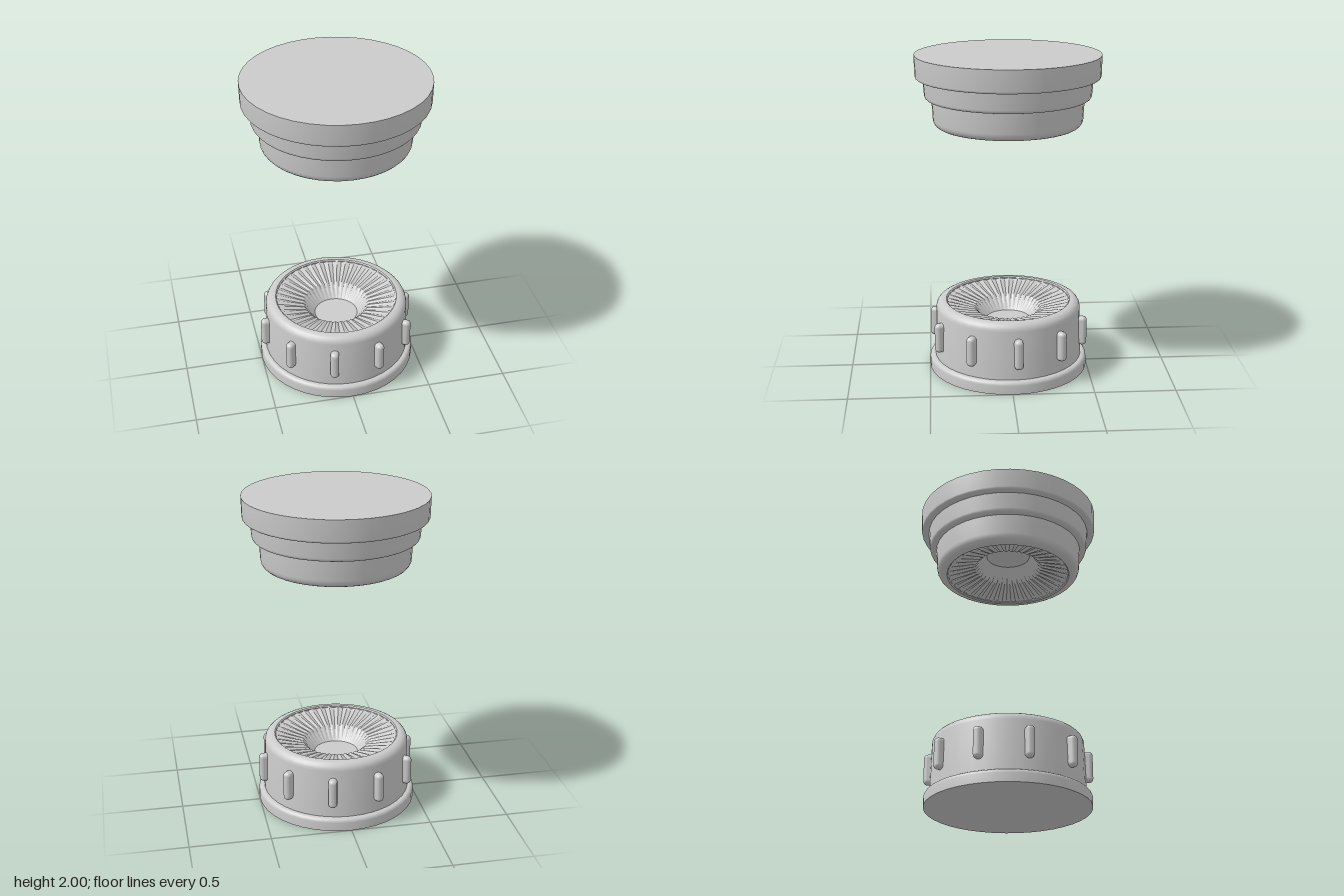
import * as THREE from 'three';
import { toCreasedNormals } from 'three/addons/utils/BufferGeometryUtils.js';
import { RoundedBoxGeometry } from 'three/addons/geometries/RoundedBoxGeometry.js';

const grey = new THREE.MeshStandardMaterial({ color: 0xcccccc });
const flat = new THREE.MeshStandardMaterial({ color: 0xcccccc, flatShading: true });

function part(name, geometry, material = grey) {
  const mesh = new THREE.Mesh(geometry, material);
  mesh.name = name;
  return mesh;
}

// Turned solid; creased at a larger scale so small fillets stay distinct
function turned(points) {
  const g = new THREE.LatheGeometry(points.map(([r, y]) => new THREE.Vector2(r, y)), 40);
  g.scale(20, 20, 20);
  return toCreasedNormals(g, 0.7).scale(0.05, 0.05, 0.05);
}

// Quarter-round from the side wall (r, y - f) over to the top (r - f, y)
function fillet(r, y, f, steps = 5) {
  return Array.from({ length: steps + 1 }, (_, i) => {
    const a = (i / steps) * Math.PI / 2;
    return [r - f + f * Math.cos(a), y - f + f * Math.sin(a)];
  });
}

// Rounded mouth shared by both halves, ending in a thin inner lip
const mouth = [...fillet(0.457, 0.44, 0.05), [0.393, 0.44], [0.386, 0.433], [0.386, 0.405]];

// Dished face with fine radial flutes, a steeper well and a flat floor
function dish() {
  const profile = [[0.388, 0.425], [0.213, 0.378], [0.138, 0.30], [0, 0.30]];
  const g = new THREE.LatheGeometry(profile.map(([r, y]) => new THREE.Vector2(r, y)), 80);
  const p = g.attributes.position;
  for (let i = 0; i < p.count; i++) {
    const column = Math.floor(i / profile.length);
    if (column % 2 && i % profile.length < 2) p.setY(i, p.getY(i) + 0.008);
  }
  return part('flutedDish', g, flat);
}

export function createModel() {
  const model = new THREE.Group();
  model.name = 'capPair';

  // Lower cap: flange, ribbed wall and dished top
  const lower = new THREE.Group();
  lower.name = 'lowerCap';
  lower.add(part('lowerBody', turned([
    [0, 0], [0.5, 0], ...fillet(0.5, 0.08, 0.025), [0.465, 0.08], ...mouth,
  ])), dish());

  // Ten grip ribs around the wall
  const ribs = new THREE.Group();
  ribs.name = 'gripRibs';
  const ribGeometry = new RoundedBoxGeometry(0.053, 0.19, 0.09, 4, 0.024);
  for (let i = 0; i < 10; i++) {
    const a = THREE.MathUtils.degToRad(22.5 + 36 * i);
    const rib = part('gripRib', ribGeometry);
    rib.position.set(0.46 * Math.sin(a), 0.25, 0.46 * Math.cos(a));
    rib.rotation.y = a;
    ribs.add(rib);
  }
  lower.add(ribs);

  // Upper cap: stepped body, built upright and turned over
  const upper = new THREE.Group();
  upper.name = 'upperCap';
  upper.add(part('upperBody', turned([
    [0, 0], [0.565, 0], ...fillet(0.562, 0.14, 0.015),
    [0.516, 0.14], ...fillet(0.507, 0.265, 0.022), [0.464, 0.265], ...mouth,
  ])), dish());
  upper.rotation.x = Math.PI;
  upper.position.y = 2;

  model.add(lower, upper);
  return model;
}
